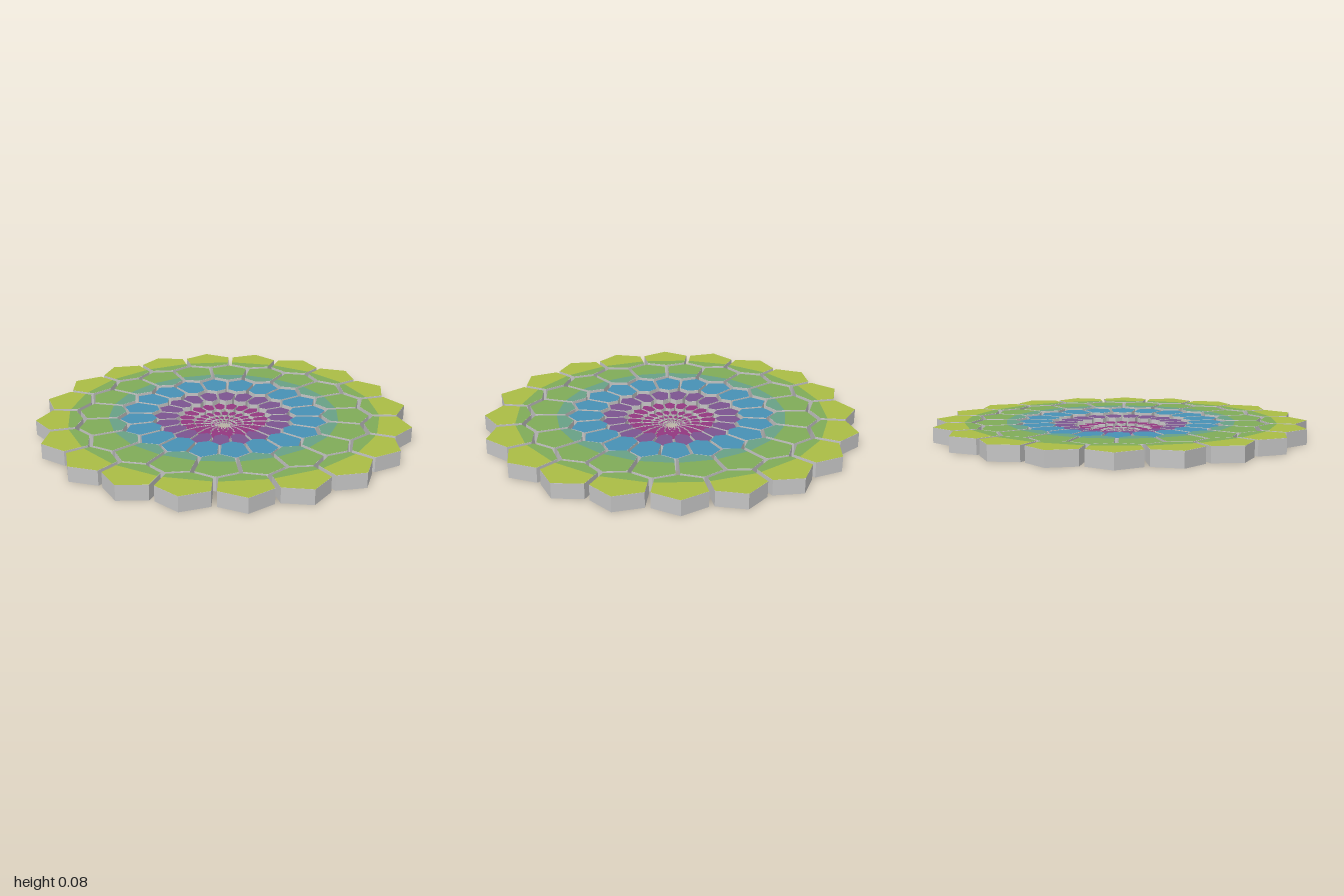
import * as THREE from 'three';
import { mergeGeometries } from 'three/addons/utils/BufferGeometryUtils.js';

const COUNT = 20;
const HALF = Math.PI / COUNT;

// Honeycomb radii: outer tip and shoulder of every ring, from the rim inwards
const TIP = [1.0145, 0.79, 0.565, 0.385, 0.258, 0.17, 0.112, 0.074, 0.049, 0.033];
const SHOULDER = [0.937, 0.738, 0.515, 0.35, 0.228, 0.15, 0.098, 0.064, 0.042, 0.028];
const HEIGHT = [0.08, 0.077, 0.069, 0.056, 0.035, 0.022, 0.015, 0.01, 0.007];

// Move every edge of a counter-clockwise polygon inwards by d
function inset(points, d) {
  const n = points.length;
  const lines = points.map((p, i) => {
    const dir = points[(i + 1) % n].clone().sub(p).normalize();
    return { dir, at: p.clone().add(new THREE.Vector2(-dir.y, dir.x).multiplyScalar(d)) };
  });
  return lines.map((b, i) => {
    const a = lines[(i + n - 1) % n];
    const t = b.at.clone().sub(a.at).cross(b.dir) / a.dir.cross(b.dir);
    return a.at.clone().addScaledVector(a.dir, t);
  });
}

// Keep the part of a polygon with lo <= x <= hi
function band(points, lo, hi) {
  const cut = (poly, c, sign) => poly.flatMap((p, i) => {
    const q = poly[(i + 1) % poly.length];
    const inP = sign * (p.x - c) >= 0, inQ = sign * (q.x - c) >= 0;
    const out = inP ? [p] : [];
    if (inP !== inQ) out.push(p.clone().lerp(q, (c - p.x) / (q.x - p.x)));
    return out;
  });
  return cut(cut(points, lo, 1), hi, -1);
}

// Six-sided cell of ring k, pointing along x
function cell(k) {
  const polar = (r, a) => new THREE.Vector2(r * Math.cos(a), r * Math.sin(a));
  const hex = [
    polar(TIP[k], 0), polar(SHOULDER[k], HALF), polar(TIP[k + 1], HALF),
    polar(SHOULDER[k + 1], 0), polar(TIP[k + 1], -HALF), polar(SHOULDER[k], -HALF),
  ];
  return inset(hex, 0.003 + 0.0105 * SHOULDER[k]);
}

// Lay a geometry flat and repeat it round the ring
function around(geometry, k, y) {
  geometry.rotateX(-Math.PI / 2).translate(0, y, 0);
  const copies = [];
  for (let i = 0; i < COUNT; i++) {
    copies.push(geometry.clone().rotateY((2 * i + (k % 2)) * HALF));
  }
  return mergeGeometries(copies);
}

export function createModel() {
  const paint = (name, color) => {
    const m = new THREE.MeshStandardMaterial({ color });
    m.name = name;
    return m;
  };
  const grey = paint('grey', 0xc4c4c4);
  const lime = paint('lime', 0xaabc45);
  const green = paint('green', 0x7fab58);
  const teal = paint('teal', 0x68a086);
  const blue = paint('blue', 0x4791b5);
  const purple = paint('purple', 0x7b548f);
  const magenta = paint('magenta', 0x93377f);

  // Colour bands of each ring: [material, inner limit, outer limit]
  const bands = [
    [[lime, 0.825, 2], [green, 0, 0.825]],
    [[green, 0.61, 2], [teal, 0, 0.61]],
    [[blue, 0, 2]],
    [[purple, 0, 2]],
  ];

  const model = new THREE.Group();
  model.name = 'petalMosaic';
  HEIGHT.forEach((height, k) => {
    const ring = new THREE.Group();
    ring.name = `ring${k + 1}`;
    const outline = cell(k);

    // Solid grey tiles
    const solid = new THREE.ExtrudeGeometry(new THREE.Shape(outline), {
      depth: height - 0.0008, bevelEnabled: false,
    });
    const tiles = new THREE.Mesh(around(solid, k, 0), grey);
    tiles.name = 'tiles';
    ring.add(tiles);

    // Coloured top faces
    for (const [material, lo, hi] of bands[k] ?? [[magenta, 0, 2]]) {
      const face = new THREE.ShapeGeometry(new THREE.Shape(band(outline, lo, hi)));
      const top = new THREE.Mesh(around(face, k, height), material);
      top.name = `${material.name}Tops`;
      ring.add(top);
    }
    model.add(ring);
  });
  return model;
}
